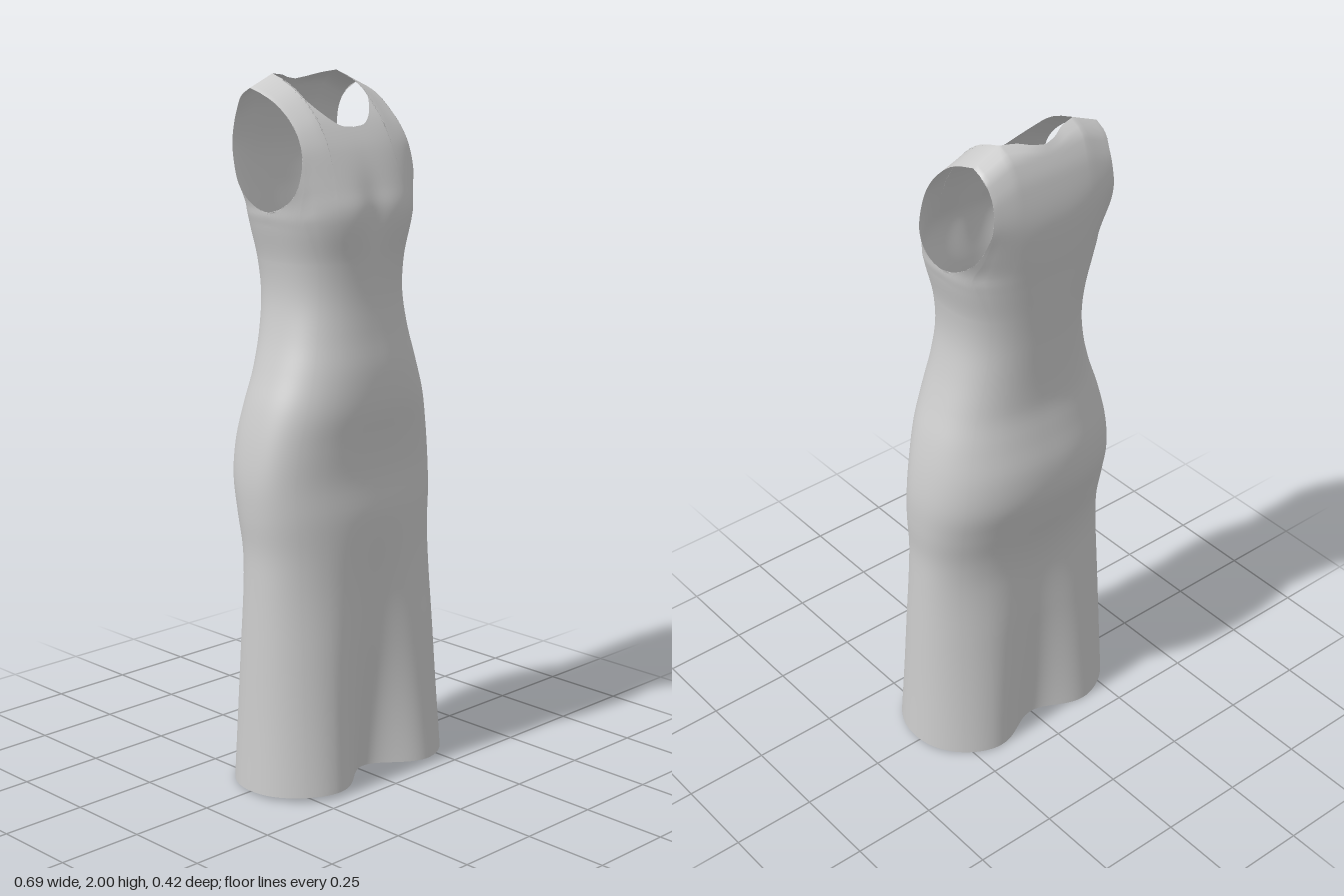
import * as THREE from 'three';
import { mergeVertices } from 'three/addons/utils/BufferGeometryUtils.js';

// Smooth curve through [position, value] pairs
function curve(pts) {
  const slope = (i) => {
    const a = pts[Math.max(i - 1, 0)], b = pts[Math.min(i + 1, pts.length - 1)];
    return (b[1] - a[1]) / (b[0] - a[0]);
  };
  return (t) => {
    let i = 0;
    while (i < pts.length - 2 && t > pts[i + 1][0]) i++;
    const [x0, v0] = pts[i], [x1, v1] = pts[i + 1], h = x1 - x0;
    const s = THREE.MathUtils.clamp((t - x0) / h, 0, 1), s2 = s * s, s3 = s2 * s;
    return v0 * (2 * s3 - 3 * s2 + 1) + v1 * (3 * s2 - 2 * s3)
      + h * (slope(i) * (s3 - 2 * s2 + s) + slope(i + 1) * (s3 - s2));
  };
}

// Profiles by height: half width, front depth, back depth, side line, squareness
const halfWidth = curve([[0, 0.345], [0.2, 0.335], [0.4, 0.327], [0.6, 0.319], [0.7, 0.317], [0.8, 0.324],
  [0.9, 0.324], [1, 0.31], [1.1, 0.285], [1.2, 0.25], [1.3, 0.22], [1.4, 0.203], [1.5, 0.208], [1.6, 0.23],
  [1.64, 0.237], [1.7, 0.225], [1.8, 0.205], [1.9, 0.197], [1.965, 0.205], [2, 0.205]]);
const front = curve([[0, 0.25], [0.2, 0.228], [0.4, 0.207], [0.6, 0.185], [0.8, 0.175], [0.9, 0.167], [1, 0.172],
  [1.1, 0.183], [1.2, 0.18], [1.3, 0.165], [1.4, 0.155], [1.5, 0.157], [1.6, 0.17], [1.65, 0.168], [1.7, 0.15],
  [1.8, 0.108], [1.86, 0.073], [1.9, 0.042], [1.95, -0.01], [1.98, -0.06], [2, -0.12]]);
const back = curve([[0, -0.215], [0.2, -0.198], [0.4, -0.178], [0.6, -0.158], [0.7, -0.163], [0.8, -0.185],
  [0.9, -0.21], [1, -0.21], [1.1, -0.19], [1.2, -0.173], [1.4, -0.18], [1.6, -0.2], [1.7, -0.212],
  [1.8, -0.216], [1.9, -0.197], [1.95, -0.177], [1.98, -0.157], [2, -0.12]]);
const sideLine = curve([[0, 0.02], [1, 0], [1.64, -0.02], [1.7, -0.03], [1.8, -0.05], [1.9, -0.075], [2, -0.12]]);
const squareness = curve([[0, 2.15], [1, 2.3], [1.4, 2.4], [1.65, 2.6], [2, 2.6]]);
// How far the uncut body would extend beyond the armhole edge
const armholeGap = curve([[1.5, 0], [1.64, 0], [1.7, 0.032], [1.8, 0.115], [1.9, 0.3], [2, 0.6]]);

// Front and back necklines: height over parameter, half width over parameter
const neckX = curve([[0, 0], [0.3, 0.05], [0.6, 0.1], [0.85, 0.131], [1, 0.122]]);
const neckY = curve([[0, 1.86], [0.3, 1.868], [0.6, 1.91], [0.85, 1.962], [1, 2]]);
const backNeckY = curve([[0, 1.979], [0.3, 1.985], [0.6, 1.994], [1, 2]]);

const NECK = 16, SHOULDER = 6, ARMHOLE = 24, QUARTER = NECK + SHOULDER + ARMHOLE;
const LOWER = 70, UPPER = 36, CHEST = 1.5;

// Top end of each column (neckline, shoulder, armhole) and its angle on the body
function column(c, isFront) {
  const lerp = THREE.MathUtils.lerp;
  if (c <= NECK) {
    const t = c / NECK;
    const x = isFront ? neckX(t) : 0.122 * t;
    return { x, y: isFront ? neckY(t) : backNeckY(t), angle: 0.6 * t };
  }
  if (c <= NECK + SHOULDER) {
    const t = (c - NECK) / SHOULDER;
    return { x: lerp(0.122, 0.205, t), y: 2 - 0.035 * t, angle: lerp(0.6, 0.92, t) };
  }
  const t = (c - NECK - SHOULDER) / ARMHOLE;
  const y = 1.64 + 0.325 * (1 - Math.sin(t * Math.PI / 2));
  return { x: halfWidth(y), y, angle: lerp(0.92, Math.PI / 2, t) };
}

// Point on the body: angle runs from the centre line to the side
function bodyPoint(angle, y, isFront) {
  const x = halfWidth(y) * Math.sin(angle);
  const full = halfWidth(y) + Math.max(0, armholeGap(y));
  // shoulders slope down toward the armhole
  const slope = 0.035 * THREE.MathUtils.clamp((x - 0.122) / 0.083, 0, 1);
  const h = Math.min(2, y + slope * THREE.MathUtils.smoothstep(y, 1.75, 1.95));
  const n = squareness(y), r = Math.min(1, x / full);
  const q = Math.pow(Math.max(0, 1 - Math.pow(r, n)), 1 / n);
  const mid = sideLine(h);
  let z = mid + ((isFront ? front(h) : back(h)) - mid) * q;
  // centre fold of the skirt, deepening toward the hem
  const fold = Math.pow(Math.max(0, 1 - y / 0.8), 1.3) * Math.exp(-((x / 0.12) ** 2));
  z += isFront ? -0.135 * fold : 0.095 * fold;
  // soft hollow between the bust
  if (isFront) z -= 0.012 * Math.exp(-((x / 0.05) ** 2) - ((y - 1.63) / 0.09) ** 2);
  return [x, y, z];
}

function dressGeometry() {
  const columns = [];
  for (let k = 0; k < 4; k++) {
    const isFront = k === 0 || k === 3, side = k < 2 ? 1 : -1;
    for (let i = 0; i < QUARTER; i++) {
      const c = k % 2 ? QUARTER - i : i;
      columns.push({ ...column(c, isFront), isFront, side });
    }
  }
  const count = columns.length, rows = LOWER + UPPER, positions = [], index = [];
  for (let j = 0; j <= rows; j++) {
    for (const col of columns) {
      const hem = 0.0075 * (1 + Math.cos(col.angle) * (col.isFront ? 1 : -1));
      let y, angle = col.angle;
      if (j <= LOWER) {
        y = THREE.MathUtils.lerp(hem, CHEST, j / LOWER);
      } else {
        const t = (j - LOWER) / UPPER;
        const topAngle = Math.asin(Math.min(1, col.x / halfWidth(col.y)));
        y = THREE.MathUtils.lerp(CHEST, col.y, t);
        angle = THREE.MathUtils.lerp(col.angle, topAngle, t);
      }
      const [px, py, pz] = bodyPoint(angle, y, col.isFront);
      positions.push(px * col.side, py, pz);
    }
  }
  for (let j = 0; j < rows; j++) {
    for (let i = 0; i < count; i++) {
      const a = j * count + i, b = j * count + (i + 1) % count;
      index.push(a, b, b + count, a, b + count, a + count);
    }
  }
  const geometry = new THREE.BufferGeometry();
  geometry.setAttribute('position', new THREE.Float32BufferAttribute(positions, 3));
  geometry.setIndex(index);
  // weld the shoulder seams so shading runs over them
  const welded = mergeVertices(geometry, 1e-4);
  welded.computeVertexNormals();
  return welded;
}

export function createModel() {
  const group = new THREE.Group();
  group.name = 'sleevelessDress';
  const cloth = new THREE.MeshStandardMaterial({ color: 0xcccccc, side: THREE.DoubleSide });
  const dress = new THREE.Mesh(dressGeometry(), cloth);
  dress.name = 'dressBody';
  group.add(dress);
  return group;
}
